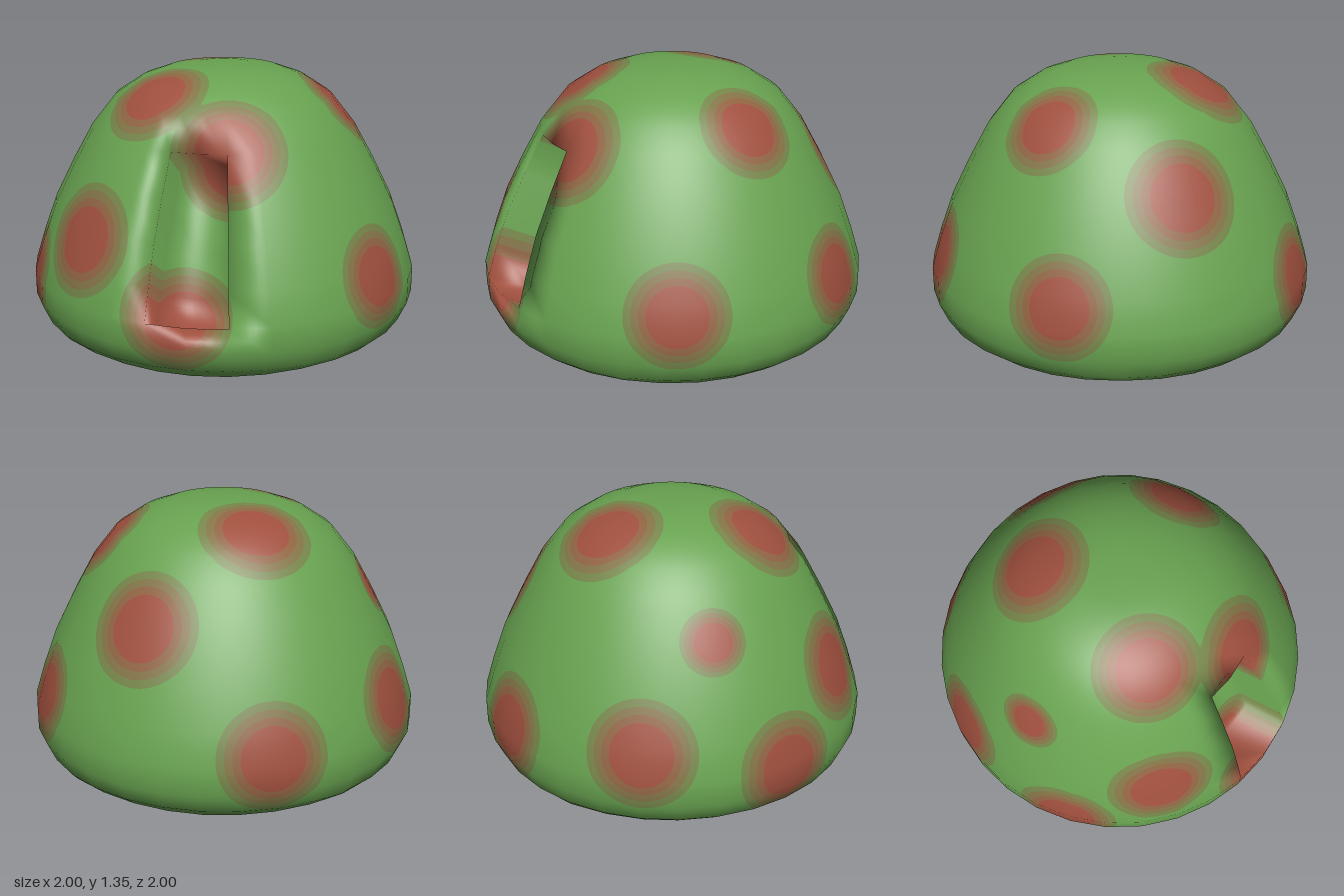
import * as THREE from 'three';

const SIDES = 32;
// dome profile from crown to rim: [radius, height]
const PROFILE = [[0, 1.345], [0.15, 1.34], [0.28, 1.325], [0.42, 1.275], [0.557, 1.185], [0.68, 1.03],
  [0.785, 0.84], [0.88, 0.65], [0.95, 0.46], [1, 0.3], [1, 0.17], [0.955, 0.07], [0.865, 0]];
const DOOR_TOP = 5, DOOR_BOTTOM = 9;          // profile rows bounding the front recess
const RECESS = new THREE.Vector3(0, -0.13, -0.23);

// spots: x, y, z, radius
const SPOTS = [
  [-0.2, 1.27, -0.37, 0.28], [0.3, 0.87, -0.7, 0.28], [0.57, 1.14, -0.08, 0.25], [-0.75, 0.9, 0.02, 0.16],
  [-0.27, 1.23, 0.38, 0.27], [0.14, 1.04, 0.65, 0.28], [-0.55, 0.59, 0.7, 0.28], [-0.92, 0.28, 0.36, 0.27],
  [-0.06, 0.34, 0.98, 0.27], [0.84, 0.41, 0.47, 0.255], [0.86, 0.41, -0.44, 0.255],
  [-0.9, 0.43, -0.36, 0.27], [-0.34, 0.34, -0.92, 0.27],
];
const LEVELS = [1, 0.86, 0.72, 0.58];         // ring edges, outermost first

const flat = (name, color) => {
  const m = new THREE.MeshStandardMaterial({ color, side: THREE.DoubleSide });
  m.name = name;
  return m;
};

// Coarse smooth shell: dome plus recess. 'rest' keeps each point's place before recessing.
function shellBase() {
  const pos = [], rest = [], index = [], ids = new Map();
  const vertex = (i, j, inner) => {
    j = i === 0 ? 0 : (j + SIDES) % SIDES;
    const key = `${i},${j},${inner}`;
    if (!ids.has(key)) {
      ids.set(key, pos.length / 3);
      const a = (j / SIDES) * Math.PI * 2;
      let [r, y] = PROFILE[i];
      if (i === PROFILE.length - 1) {         // rim arches up at the four diagonals
        const k = 1 - Math.abs(Math.cos(2 * a));
        r += 0.065 * k;
        y += 0.042 * k;
      }
      const p = new THREE.Vector3(r * Math.sin(a), y, r * Math.cos(a));
      rest.push(p.x, p.y, p.z);
      if (inner) p.add(RECESS);
      pos.push(p.x, p.y, p.z);
    }
    return ids.get(key);
  };
  const quad = (a, b, c, d) => {
    index.push(a, b, c);
    if (a !== d) index.push(a, c, d);
  };
  const out = (i, j) => vertex(i, j, false), inn = (i, j) => vertex(i, j, true);

  // dome panels, with the doorway panels pushed inward
  for (let i = 0; i < PROFILE.length - 1; i++) {
    for (let j = -1; j < SIDES - 1; j++) {
      const v = j < 1 && i >= DOOR_TOP && i < DOOR_BOTTOM ? inn : out;
      quad(v(i, j), v(i + 1, j), v(i + 1, j + 1), v(i, j + 1));
    }
  }
  // recess side walls
  for (let i = DOOR_TOP; i < DOOR_BOTTOM; i++) {
    quad(out(i, -1), out(i + 1, -1), inn(i + 1, -1), inn(i, -1));
    quad(inn(i, 1), inn(i + 1, 1), out(i + 1, 1), out(i, 1));
  }
  // recess floor and ceiling
  for (let j = -1; j < 1; j++) {
    quad(inn(DOOR_BOTTOM, j), out(DOOR_BOTTOM, j), out(DOOR_BOTTOM, j + 1), inn(DOOR_BOTTOM, j + 1));
    quad(out(DOOR_TOP, j), inn(DOOR_TOP, j), inn(DOOR_TOP, j + 1), out(DOOR_TOP, j + 1));
  }
  const g = new THREE.BufferGeometry();
  g.setAttribute('position', new THREE.Float32BufferAttribute(pos, 3));
  g.setIndex(index);
  g.computeVertexNormals();
  const nor = g.attributes.normal.array;
  const pick = (k) => [pos, nor, rest].flatMap((s) => [s[3 * k], s[3 * k + 1], s[3 * k + 2]]);
  const tris = [];
  for (let t = 0; t < index.length; t += 3) tris.push([pick(index[t]), pick(index[t + 1]), pick(index[t + 2])]);
  return tris;
}

const mix = (a, b, t) => a.map((v, k) => v + (b[k] - v) * t);

// Relative distance to the nearest spot: 0 at its centre, 1 at its edge
const spotField = (v) => Math.min(...SPOTS.map(([x, y, z, r]) => Math.hypot(v[6] - x, v[7] - y, v[8] - z) / r));

// Part of a polygon on one side of a ring edge
function clip(poly, level, sign) {
  const res = [];
  poly.forEach((a, k) => {
    const b = poly[(k + 1) % poly.length];
    const fa = sign * (a[9] - level), fb = sign * (b[9] - level);
    if (fa >= 0) res.push(a);
    if ((fa > 0 && fb < 0) || (fa < 0 && fb > 0)) res.push(mix(a, b, fa / (fa - fb)));
  });
  return res;
}

function spottedShell() {
  let tris = shellBase();
  for (let n = 0; n < 3; n++) {
    tris = tris.flatMap(([a, b, c]) => {
      const ab = mix(a, b, 0.5), bc = mix(b, c, 0.5), ca = mix(c, a, 0.5);
      return [[a, ab, ca], [ab, b, bc], [ca, bc, c], [ab, bc, ca]];
    });
  }
  // sort the pieces into one bucket per colour
  const buckets = Array.from({ length: LEVELS.length + 1 }, () => []);
  const add = (bucket, poly) => {
    for (let k = 1; k + 1 < poly.length; k++) bucket.push(poly[0], poly[k], poly[k + 1]);
  };
  for (const tri of tris) {
    let poly = tri.map((v) => [...v, spotField(v)]);
    LEVELS.forEach((level, k) => {
      if (poly.length < 3) return;
      add(buckets[k], clip(poly, level, 1));
      poly = clip(poly, level, -1);
    });
    add(buckets[LEVELS.length], poly);
  }
  const pos = [], nor = [];
  const g = new THREE.BufferGeometry();
  buckets.forEach((bucket, k) => {
    g.addGroup(pos.length / 3, bucket.length, k);
    for (const v of bucket) {
      const n = new THREE.Vector3(v[3], v[4], v[5]).normalize();
      pos.push(v[0], v[1], v[2]);
      nor.push(n.x, n.y, n.z);
    }
  });
  g.setAttribute('position', new THREE.Float32BufferAttribute(pos, 3));
  g.setAttribute('normal', new THREE.Float32BufferAttribute(nor, 3));
  return g;
}

export function createModel() {
  const group = new THREE.Group();
  group.name = 'spottedDome';
  const shell = new THREE.Mesh(spottedShell(), [
    flat('green', 0x68a250),
    flat('outerRing', 0x75854a),
    flat('middleRing', 0x837447),
    flat('innerRing', 0x906443),
    flat('spotRed', 0xa0503e),
  ]);
  shell.name = 'domeShell';
  group.add(shell);
  return group;
}
